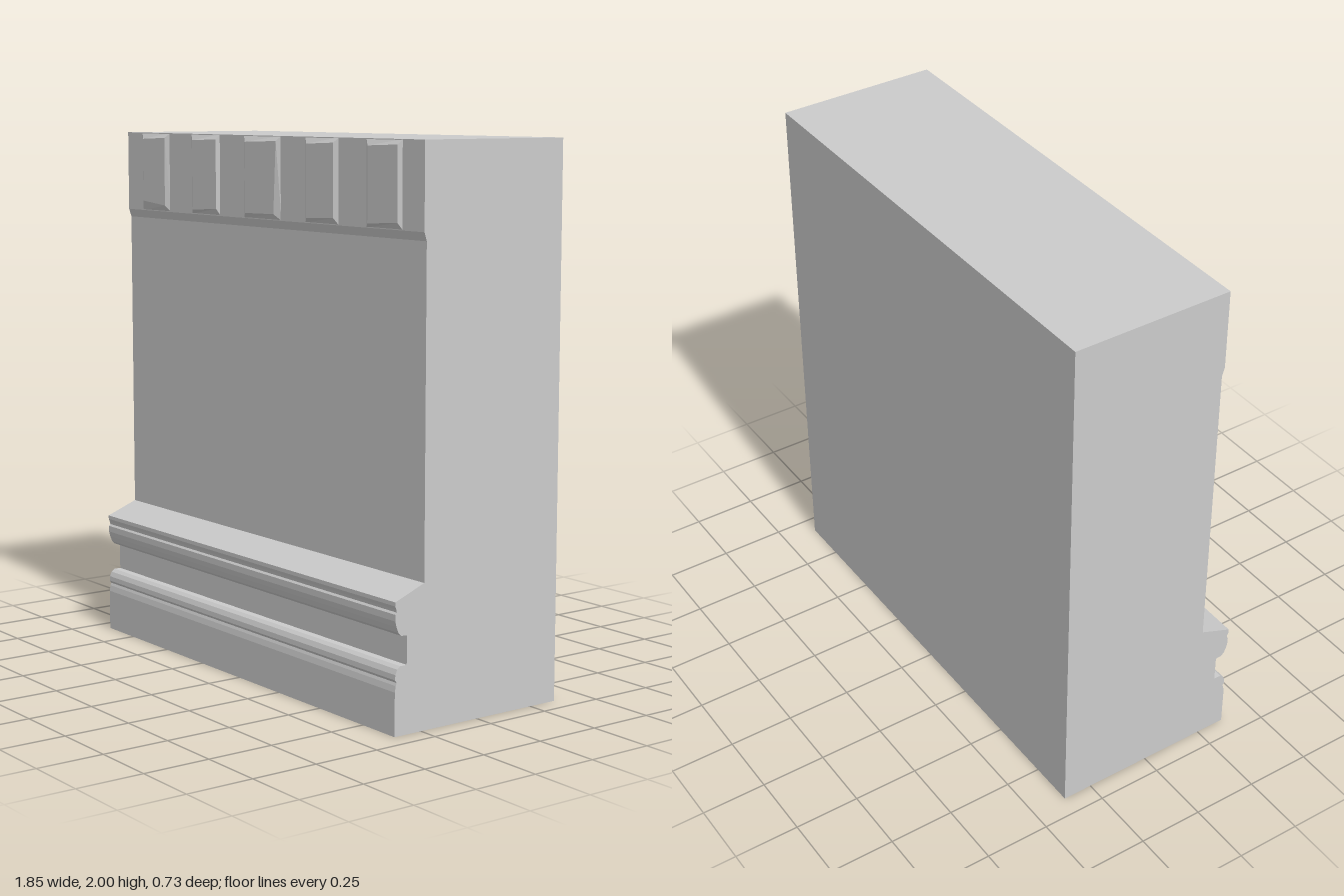
import * as THREE from 'three';

const HALF_WIDTH = 0.925;
const BAND_Z = 0.25, PANEL_Z = 0.263;

// Bevelled raised panel: outer quad on the band, inner quad in front of it.
// Corners run bottom left, bottom right, top right, top left.
function panelGeometry(outer, inner) {
  const positions = [
    ...outer.flatMap(([x, y]) => [x, y, BAND_Z - 0.002]),
    ...inner.flatMap(([x, y]) => [x, y, PANEL_Z]),
  ];
  const index = [4, 5, 6, 4, 6, 7];
  for (let i = 0; i < 4; i++) {
    const j = (i + 1) % 4;
    index.push(i, j, j + 4, i, j + 4, i + 4);
  }
  const g = new THREE.BufferGeometry();
  g.setAttribute('position', new THREE.Float32BufferAttribute(positions, 3));
  g.setIndex(index);
  const flat = g.toNonIndexed();
  flat.computeVertexNormals();
  return flat;
}

export function createModel() {
  const group = new THREE.Group();
  const material = new THREE.MeshStandardMaterial({ color: 0xcccccc, flatShading: true });

  // Wall section with moulded base and top band, as (z, y) points
  const profile = [
    [-0.365, 0], [0.365, 0],
    // lower moulding
    [0.365, 0.155], [0.361, 0.177], [0.357, 0.187], [0.364, 0.197],
    [0.363, 0.215], [0.355, 0.233], [0.342, 0.243], [0.314, 0.243],
    // groove and upper moulding
    [0.314, 0.345], [0.338, 0.347], [0.35, 0.358], [0.359, 0.38],
    [0.364, 0.4], [0.364, 0.423], [0.358, 0.43], [0.36, 0.44], [0.365, 0.452],
    [0.365, 0.466], [0.24, 0.515],
    // plain face and top band
    [0.24, 1.667], [BAND_Z, 1.697], [BAND_Z, 2], [-0.365, 2],
  ];
  const shape = new THREE.Shape(profile.map(([z, y]) => new THREE.Vector2(z, y)));
  const wallGeometry = new THREE.ExtrudeGeometry(shape, { depth: 2 * HALF_WIDTH, bevelEnabled: false });
  wallGeometry.rotateY(-Math.PI / 2).translate(HALF_WIDTH, 0, 0);
  const wall = new THREE.Mesh(wallGeometry, material);
  wall.name = 'wall';
  group.add(wall);

  // Slightly uneven panels: outer left and right, right strip at bottom and top,
  // inner bottom height at left and right
  const panels = [
    [-0.82, -0.62, 0.02, 0.018, 1.735, 1.722],
    [-0.47, -0.275, 0.01, 0.01, 1.714, 1.724],
    [-0.12, 0.115, 0.03, 0.015, 1.717, 1.72],
    [0.26, 0.457, 0.015, 0.015, 1.715, 1.722],
    [0.61, 0.81, 0.012, 0.012, 1.713, 1.722],
  ];
  const topPanels = new THREE.Group();
  topPanels.name = 'topPanels';
  for (const [l, r, stripBottom, stripTop, yl, yr] of panels) {
    const outer = [[l, 1.697], [r, 1.697], [r, 2], [l, 2]];
    const inner = [[l + 0.025, yl], [r - stripBottom, yr], [r - stripTop, 1.982], [l + 0.025, 1.976]];
    const panel = new THREE.Mesh(panelGeometry(outer, inner), material);
    panel.name = 'raisedPanel';
    topPanels.add(panel);
  }
  group.add(topPanels);
  return group;
}
